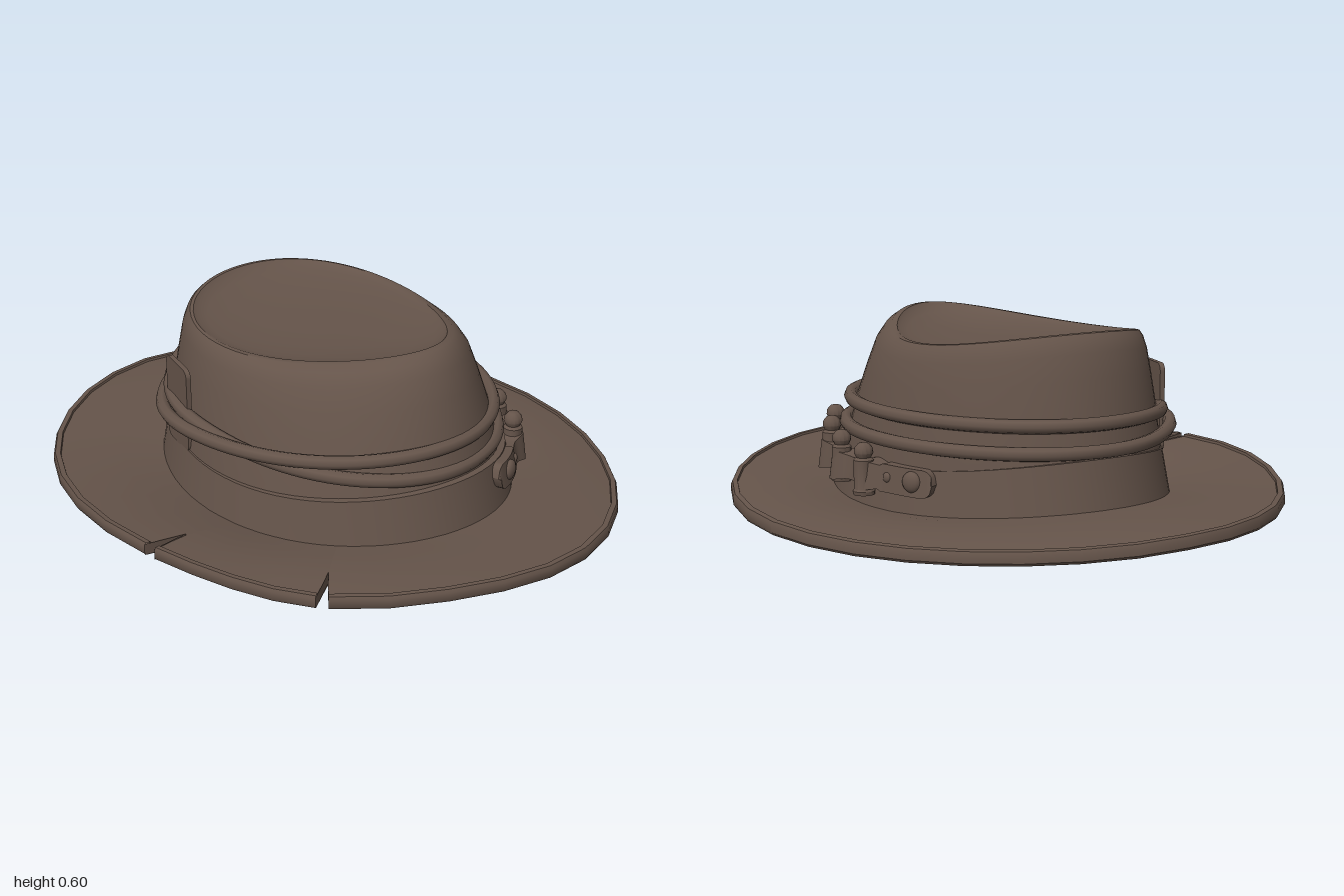
import * as THREE from 'three';
import { toCreasedNormals } from 'three/addons/utils/BufferGeometryUtils.js';

const TAU = Math.PI * 2;
const lerp = THREE.MathUtils.lerp;
const gauss = (d, w) => Math.exp(-(d * d) / (w * w));

// Grid of points: rows run down the cross-section, columns run along it
function sheet(rows, cols, point, crease = 0.6) {
  const pos = [], index = [];
  for (let j = 0; j < rows; j++)
    for (let i = 0; i <= cols; i++) pos.push(...point(i / cols, j));
  for (let j = 0; j < rows - 1; j++)
    for (let i = 0; i < cols; i++) {
      const a = j * (cols + 1) + i, c = a + cols + 1;
      index.push(a, a + 1, c, a + 1, c + 1, c);
    }
  const g = new THREE.BufferGeometry();
  g.setAttribute('position', new THREE.Float32BufferAttribute(pos, 3));
  g.setIndex(index);
  return toCreasedNormals(g, crease);
}

// Guide curves around the hat; angle 0 is +x, a quarter turn is +z
const oval = (a, rx, rz, y) => [0.008 + rx * Math.cos(a), y, rz * Math.sin(a)];
const teardrop = (a, s = 1) => [
  -0.015 + 0.445 * s * Math.cos(a),
  0.348 * s * Math.sin(a) * (1 - 0.29 * Math.cos(a)),
];
const baseY = (a) => 0.05 + 0.04 * Math.cos(a) ** 2;
const topY = (a) => 0.557 + 0.05 * Math.cos(a) ** 2 + 0.005 * Math.cos(a);
const rimY = (a) => 0.085 + 0.017 * Math.cos(a) + 0.04 * Math.sin(a) + 0.01 * Math.cos(a) ** 2
  - 0.045 * gauss(a - 0.9, 0.38) - 0.02 * gauss(a - 2.4, 0.5);

// Crown wall: m blends base oval into teardrop, v is the height share
function wall(a, m, v) {
  const [bx, , bz] = oval(a, 0.615, 0.49, 0);
  const [tx, tz] = teardrop(a);
  return [lerp(bx, tx, m), lerp(baseY(a), topY(a), v), lerp(bz, tz, m)];
}

function dent(a, s, w) {
  const [x, z] = teardrop(a, s);
  return [x, lerp(topY(a), 0.535, w), z];
}

// Point on the brim: t is the share outwards, drop lowers it from the top face
function brimPoint(a, t, drop) {
  const [bx, , bz] = oval(a, 0.615, 0.49, 0);
  const rise = t * (0.6 + 0.4 * t), bump = 0.008 + 0.01 * Math.sin(a) ** 2;
  const y = lerp(baseY(a), rimY(a), rise) + bump * Math.sin(Math.PI * t) - drop;
  const trim = 1 - 0.018 * Math.sin(2 * a) ** 2;
  const rimX = Math.cos(a) * trim - 0.03 * Math.sin(a) ** 2;
  return [lerp(bx, rimX, t), y, lerp(bz, 0.857 * Math.sin(a) * trim, t)];
}

const WALL = [[1, 1], [0.9, 0.997], [0.78, 0.965], [0.65, 0.89], [0.51, 0.74], [0.35, 0.55], [0.19, 0.3], [0.09, 0.13], [0, 0]];
const DENT = [[0, 1], [0.25, 0.98], [0.5, 0.9], [0.75, 0.68], [0.9, 0.4], [0.97, 0.2]];

export function createModel() {
  const hat = new THREE.Group();
  hat.name = 'hat';
  const leather = new THREE.MeshStandardMaterial({ color: 0x65544a, side: THREE.DoubleSide });
  leather.name = 'brown leather';
  const add = (name, geometry, parent = hat) => {
    const mesh = new THREE.Mesh(geometry, leather);
    mesh.name = name;
    parent.add(mesh);
    return mesh;
  };

  // Crown with sunken teardrop top
  add('crown', sheet(DENT.length + WALL.length, 72, (u, j) => {
    const a = u * TAU;
    return j < DENT.length ? dent(a, ...DENT[j]) : wall(a, ...WALL[j - DENT.length]);
  }));

  // Hollow inside of the crown, flaring softly out into the brim
  const FLARE = [[0.25, 0.05], [0.14, 0.048], [0.05, 0.04], [-0.02, 0.025], [-0.07, 0.005]];
  const inner = WALL.slice(0, -2).reverse();
  add('crownLining', sheet(FLARE.length + inner.length + DENT.length, 72, (u, j) => {
    const a = u * TAU, k = j - FLARE.length;
    if (k < 0) return brimPoint(a, ...FLARE[j]);
    const p = k < inner.length ? wall(a, ...inner[k]) : dent(a, ...DENT[DENT.length - 1 - (k - inner.length)]);
    return [p[0] * 0.965, p[1] - 0.022, p[2] * 0.965];
  }, 0.9));

  // Brim: two panels between the two notches, with a raised hem
  const brim = new THREE.Group();
  brim.name = 'brim';
  hat.add(brim);
  const ROWS = [[0, 0], [0.2, 0], [0.4, 0], [0.6, 0], [0.78, 0], [0.935, 0], [0.94, -0.008], [0.985, -0.008],
    [1, 0.002], [1, 0.024], [0.985, 0.033], [0.92, 0.033], [0.78, 0.034], [0.6, 0.038], [0.4, 0.045], [0.17, 0.048]];
  const gap = (t) => 0.02 * Math.max(0, (t - 0.6) / 0.4);
  const N1 = 0.87, N2 = 1.445;
  for (const [from, to, cols] of [[N1, N2, 4], [N2, N1 + TAU, 30]]) {
    const at = (u, t, drop) => {
      const a = lerp(from + gap(t), to - gap(t), u);
      return brimPoint(a > Math.PI ? a - TAU : a, t, drop);
    };
    add('brimPanel', sheet(ROWS.length, cols, (u, j) => at(u, ...ROWS[j])), brim);
    // Cut faces at the notches
    for (const end of [0, 1])
      add('notchEdge', sheet(2, 4, (u, j) => at(end, lerp(0.6, 1, u), j ? 0.032 : -0.004)), brim);
  }

  // Wide band at the foot of the crown
  add('hatBand', sheet(4, 72, (u, j) => {
    const a = u * TAU, top = 0.18 + 0.06 * Math.cos(a) ** 2;
    return [
      oval(a, 0.58, 0.455, top), oval(a, 0.602, 0.477, top),
      oval(a, 0.63, 0.503, baseY(a) - 0.005), oval(a, 0.61, 0.485, baseY(a) - 0.005),
    ][j];
  }));

  // One cord wound twice, crossing itself at the front and passing over the card
  const cordPoints = [];
  for (let i = 0; i < 96; i++) {
    const turn = (i / 96) * 4, a = Math.PI - turn * Math.PI, half = Math.floor(turn);
    const off = 0.04 * [-Math.cos(a), -1, Math.cos(a), 1][half];
    const push = half === 2 ? 0.028 * Math.sin(a) ** 2 : 0;
    const overCard = half % 2 ? 0 : 0.02 * gauss(a + (half ? TAU : 0) - 2.05, 0.35);
    const r = push + overCard - off * 0.2;
    const [x, y, z] = oval(a, 0.574 + r, 0.46 + r, 0.302 + off);
    cordPoints.push(new THREE.Vector3(x - 0.016, y, z));
  }
  add('cord', new THREE.TubeGeometry(new THREE.CatmullRomCurve3(cordPoints, true), 192, 0.022, 8, true));

  // Card tucked under the cord
  const w = 0.08, h = 0.142, c = 0.025;
  const cardShape = new THREE.Shape();
  cardShape.moveTo(-w + c, -h);
  for (const [sx, sy, start] of [[1, -1, -0.25], [1, 1, 0], [-1, 1, 0.25], [-1, -1, 0.5]])
    cardShape.absarc(sx * (w - c), sy * (h - c), c, start * TAU, (start + 0.25) * TAU);
  const card = add('card', new THREE.ExtrudeGeometry(cardShape, { depth: 0.016, bevelEnabled: false, curveSegments: 4 }));
  card.position.set(-0.262, 0.32, 0.412);
  card.rotation.y = -0.3;

  // Looped strap around the back, rounded at both ends
  const SHELLS = [-1.64, -1.35, -1.05, -0.75];
  const START = -2.09, END = -0.2;
  const strapY = (a) => lerp(0.195, 0.155, Math.min(1, (-a - 0.2) / 0.8));
  const strap = new THREE.Group();
  strap.name = 'cartridgeStrap';
  hat.add(strap);
  add('strap', sheet(4, 140, (u, j) => {
    const a = lerp(START, END, u);
    const loop = SHELLS.reduce((s, b) => s + gauss(a - b, 0.075), 0);
    const fromEnd = Math.min(a - START, END - a);
    const round = Math.sqrt(Math.max(0, 1 - Math.max(0, 1 - fromEnd / 0.07) ** 2));
    const half = (fromEnd < 0.35 ? 0.042 : 0.034 + 0.012 * loop) * round;
    const out = 0.01 + 0.036 * loop, y = strapY(a);
    return [
      oval(a, 0.59, 0.465, y + half), oval(a, 0.62 + out, 0.493 + out, y + half),
      oval(a, 0.632 + out, 0.505 + out, y - half), oval(a, 0.6, 0.475, y - half),
    ][j];
  }), strap);

  // Studs on the strap ends
  for (const [a, r] of [[-0.36, 0.033], [-0.54, 0.016], [-1.96, 0.033], [-1.79, 0.016]]) {
    const stud = add('stud', new THREE.SphereGeometry(r, 16, 10), strap);
    stud.position.set(...oval(a, 0.635, 0.508, strapY(a) + 0.003));
    stud.rotation.y = -a;
    stud.scale.x = 0.55;
  }

  // Cartridges held in the loops
  const profile = [[0, 0], [0.033, 0], [0.035, 0.012], [0.031, 0.018], [0.031, 0.108], [0.023, 0.116],
    [0.03, 0.13], [0.028, 0.146], [0.017, 0.159], [0, 0.163]].map((p) => new THREE.Vector2(...p));
  SHELLS.forEach((a, i) => {
    const r = [0.02, 0.006, 0, 0][i], lift = [-0.014, -0.004, 0.01, 0.005][i];
    const shell = add('cartridge', toCreasedNormals(new THREE.LatheGeometry(profile, 14), 0.7), strap);
    shell.position.set(...oval(a, 0.632 + r, 0.505 + r, strapY(a) - 0.048 + lift));
  });

  // Rest the lowest point on the ground
  hat.position.y = -new THREE.Box3().setFromObject(hat).min.y;
  return hat;
}
